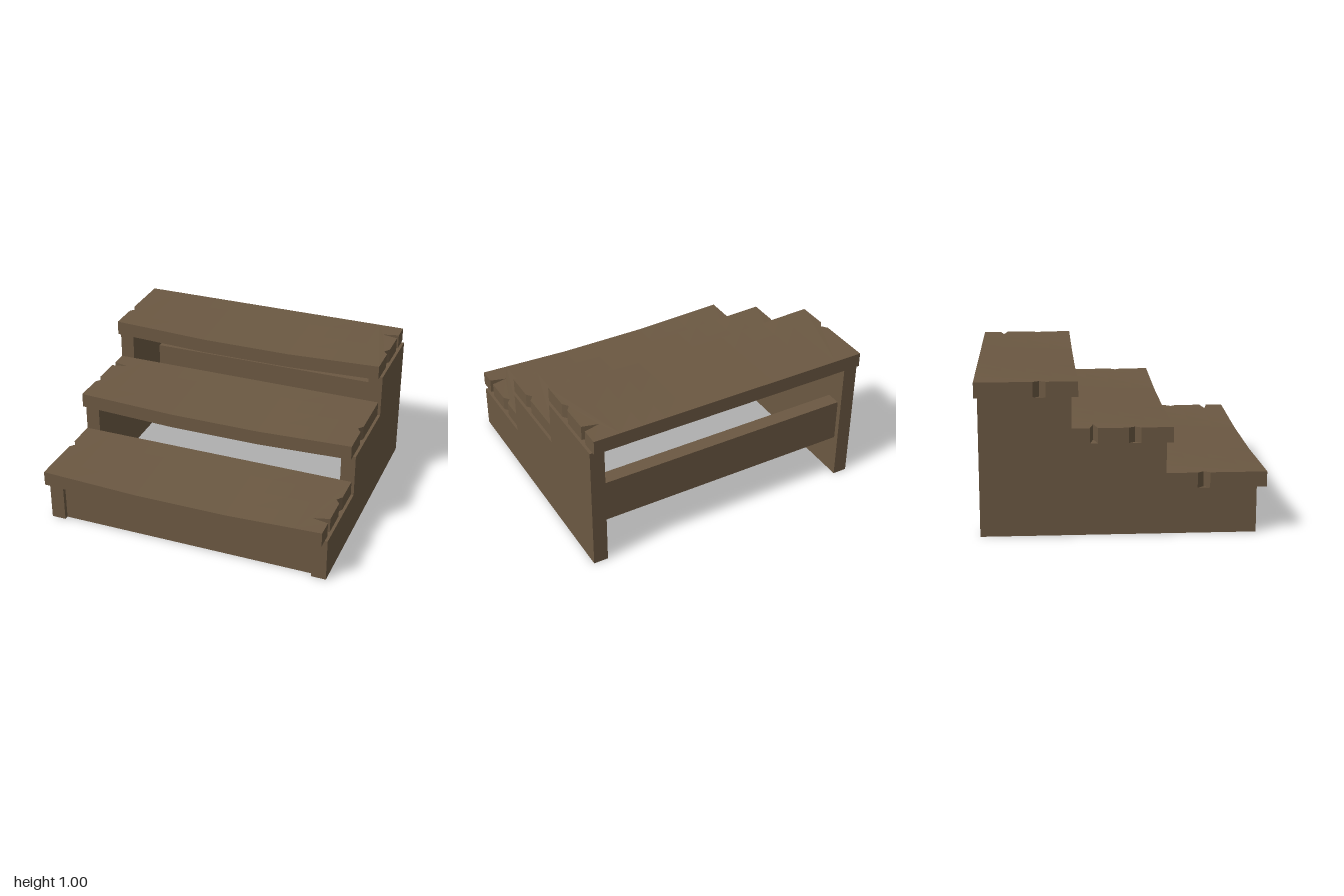
import * as THREE from 'three';
import { mergeGeometries } from 'three/addons/utils/BufferGeometryUtils.js';

const THICK = 0.1;
const X0 = -1, X1 = 0.98, INNER = 0.8;

// Wear of the front edge: none at the ends, deepest across the middle
const WEAR = [[-1, 0], [-0.9, 0.003], [-0.65, 0.0125], [-0.32, 0.025], [0.32, 0.025], [0.65, 0.0125], [0.98, 0]];
function wearAt(x) {
  for (let i = 1; i < WEAR.length; i++) {
    const [xa, a] = WEAR[i - 1], [xb, b] = WEAR[i];
    if (x <= xb) return a + (b - a) * Math.max(0, (x - xa) / (xb - xa));
  }
  return 0;
}

// End of a plank with V-shaped splits; notches are [z, halfWidth, depth] from back to front
function plankEnd(edge, inner, back, front, notches) {
  const dir = Math.sign(inner - edge);
  const pts = [[inner, back], [edge, back]];
  for (const [z, half, depth] of notches) {
    pts.push([edge, z - half], [edge + dir * depth, z], [edge, z + half]);
  }
  pts.push([edge, front], [inner, front]);
  const shape = new THREE.Shape(pts.map(([x, z]) => new THREE.Vector2(x, -z)));
  return new THREE.ExtrudeGeometry(shape, { depth: THICK, bevelEnabled: false }).rotateX(-Math.PI / 2);
}

// Whole tread: a segmented middle and two notched ends, sagging towards the front
function treadGeometry(back, front, leftNotches, rightNotches) {
  const middle = new THREE.BoxGeometry(INNER * 2, THICK, front - back, 10, 1, 4)
    .translate(0, THICK / 2, (front + back) / 2).toNonIndexed();
  const geo = mergeGeometries([
    middle,
    plankEnd(X0, -INNER, back, front, rightNotches),
    plankEnd(X1, INNER, back, front, leftNotches),
  ]);
  const p = geo.attributes.position;
  for (let i = 0; i < p.count; i++) {
    const t = (p.getZ(i) - back) / (front - back);
    p.setY(i, p.getY(i) - wearAt(p.getX(i)) * t);
  }
  geo.computeVertexNormals();
  return geo;
}

export function createModel() {
  const group = new THREE.Group();
  group.name = 'woodenSteps';
  const wood = new THREE.MeshStandardMaterial({ color: 0x6b5842 });
  wood.name = 'brown wood';

  function add(name, geo, x = 0, y = 0, z = 0) {
    const mesh = new THREE.Mesh(geo, wood);
    mesh.name = name;
    mesh.position.set(x, y, z);
    group.add(mesh);
  }

  // Stepped side panels
  const profile = [[0.86, 0], [0.86, 0.3], [0.28, 0.3], [0.28, 0.6], [-0.32, 0.6], [-0.32, 0.9], [-0.905, 0.9], [-0.905, 0]];
  const panel = new THREE.ExtrudeGeometry(
    new THREE.Shape(profile.map(([z, y]) => new THREE.Vector2(z, y))),
    { depth: 0.1, bevelEnabled: false },
  ).rotateY(-Math.PI / 2);
  add('leftSidePanel', panel, 1);
  add('rightSidePanel', panel, -0.9);

  // Boards joining the panels: one under the front tread, one at the back
  const board = new THREE.BoxGeometry(1.8, 0.3, 0.1);
  add('frontBoard', board, 0, 0.15, 0.78);
  add('backBoard', board, 0, 0.45, -0.82);

  // Treads
  const chip = (z) => [z, 0.04, 0.03];
  const split = (z) => [z, 0.026, 0.11];
  add('bottomTread', treadGeometry(0.28, 0.925, [chip(0.52), split(0.777)], [chip(0.52)]), 0, 0.3);
  add('middleTread', treadGeometry(-0.32, 0.325, [chip(0.08)], [split(-0.18), chip(0.08)]), 0, 0.6);
  add('topTread', treadGeometry(-0.928, -0.277, [split(-0.78), chip(-0.52)], [chip(-0.52)]), 0, 0.9);

  return group;
}
